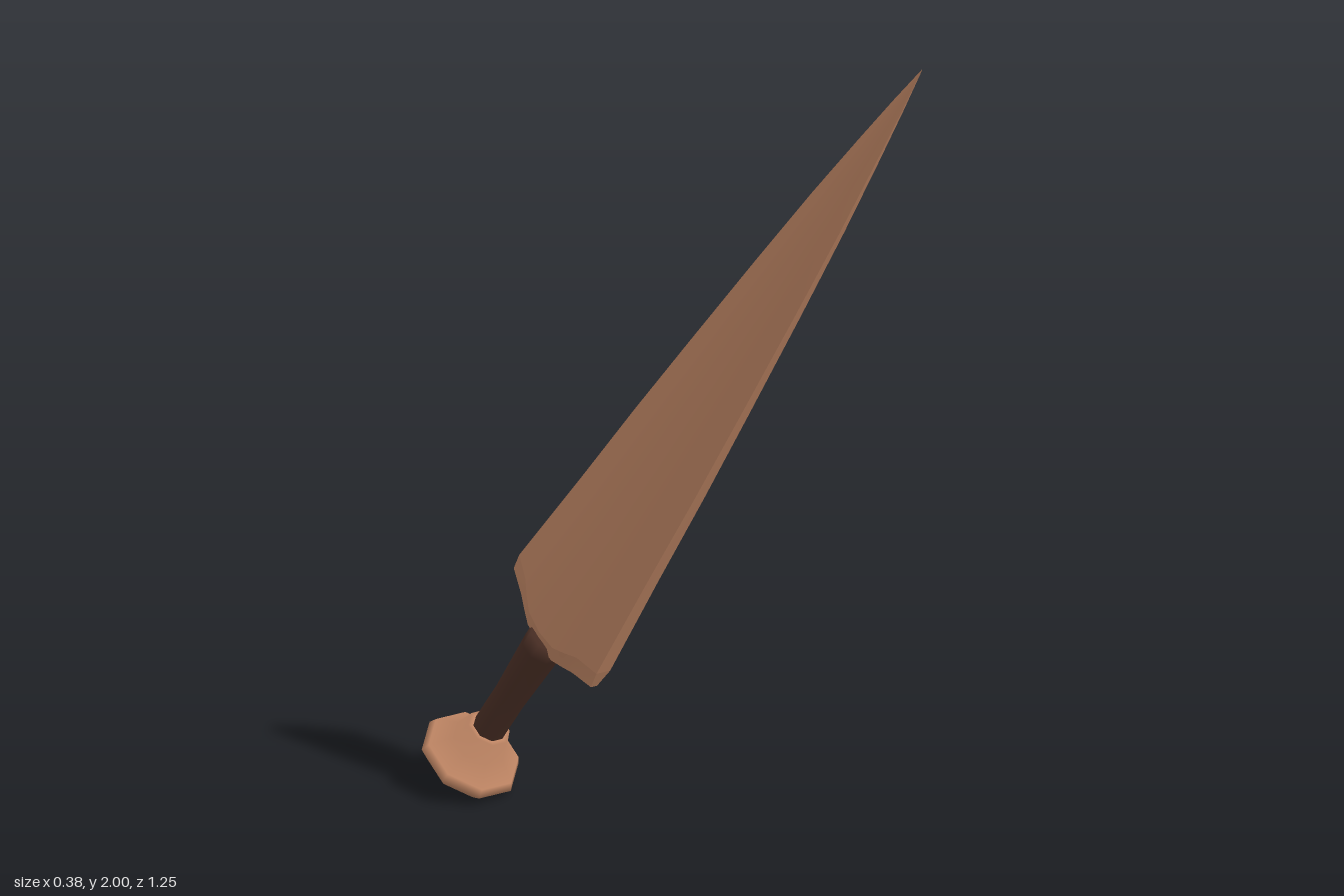
import * as THREE from 'three';
import { mergeGeometries } from 'three/addons/utils/BufferGeometryUtils.js';

// Smooth patch from rows of points; columns run right and rows run up as seen from its front
function patch(rows) {
  const n = rows[0].length;
  const index = [];
  for (let r = 0; r < rows.length - 1; r++) {
    for (let c = 0; c < n - 1; c++) {
      const a = r * n + c, b = a + 1, d = a + n, e = d + 1;
      index.push(a, b, e, a, e, d);
    }
  }
  const g = new THREE.BufferGeometry();
  g.setAttribute('position', new THREE.Float32BufferAttribute(rows.flat(2), 3));
  g.setIndex(index);
  g.computeVertexNormals();
  return g;
}

function bladeGeometry() {
  // Columns across the width: [u, bottom edge height, shoulder height]
  const columns = [
    [0, 0.38, 0.425], [0.3, 0.382, 0.43], [0.48, 0.396, 0.447],
    [0.66, 0.411, 0.466], [1, 0.428, 0.475],
  ];
  const full = [...columns.slice(1).reverse().map(([u, a, b]) => [-u, a, b]), ...columns];
  // Stations up the blade: [height, half width]
  const stations = [[0.75, 0.135], [1.0, 0.119], [1.25, 0.1], [1.55, 0.076],
    [1.8, 0.054], [2.0, 0.033], [2.15, 0.016], [2.27, 0.0005]];
  const thick = (u) => 0.018 + 0.024 * (1 - u * u);

  const side = (sign) => {
    const rows = [
      full.map(([u, a]) => [u * 0.155, a, sign * thick(u) * 0.45]),
      full.map(([u, , b]) => [u * 0.155, b, sign * thick(u)]),
    ];
    for (const [s, h] of stations) {
      rows.push(full.map(([u]) => [u * h, s, sign * thick(u) * h / 0.155]));
    }
    return rows;
  };
  const front = side(1), back = side(-1);
  const flip = (rows) => rows.map((r) => [...r].reverse());
  const last = full.length - 1;
  const rightEdge = front.map((r, i) => [r[last], back[i][last]]);
  const leftEdge = front.map((r, i) => [back[i][0], r[0]]);

  return mergeGeometries([
    patch(front.slice(1)), patch(flip(back.slice(1))),           // broad faces
    patch(front.slice(0, 2)), patch(flip(back.slice(0, 2))),     // bevelled shoulder
    patch(rightEdge.slice(1)), patch(leftEdge.slice(1)),         // narrow edges
    patch(rightEdge.slice(0, 2)), patch(leftEdge.slice(0, 2)),
    patch([back[0], front[0]]),                                  // underside
  ]);
}

const lathe = (points) =>
  new THREE.LatheGeometry(points.map(([r, y]) => new THREE.Vector2(r, y)), 8, Math.PI / 8);

export function createModel() {
  const copper = new THREE.MeshStandardMaterial({ color: 0xc88c69 });
  copper.name = 'copper';
  const darkWood = new THREE.MeshStandardMaterial({ color: 0x4c3026 });
  darkWood.name = 'dark wood';

  const dagger = new THREE.Group();
  dagger.name = 'dagger';
  const add = (name, geometry, material) => {
    const mesh = new THREE.Mesh(geometry, material);
    mesh.name = name;
    dagger.add(mesh);
  };

  add('blade', bladeGeometry(), copper);
  add('grip', lathe([[0.035, 0.06], [0.035, 0.2], [0.043, 0.36], [0.043, 0.4], [0, 0.41]]), darkWood);
  add('pommel', lathe([[0, -0.046], [0.06, -0.04], [0.085, -0.025], [0.108, 0],
    [0.1, 0.018], [0.06, 0.05], [0.046, 0.095], [0.03, 0.095]]), copper);

  // Lean the whole piece: local y runs from pommel to tip, local x across the blade
  const axis = new THREE.Vector3(0.285, 1.93, 1.16).normalize();
  const across = new THREE.Vector3(0, 0.516, -0.857).normalize();
  const normal = across.clone().cross(axis).normalize();
  across.crossVectors(axis, normal);
  dagger.quaternion.setFromRotationMatrix(new THREE.Matrix4().makeBasis(across, axis, normal));
  dagger.position.set(-0.092, 0.07, -0.535);

  const model = new THREE.Group();
  model.name = 'model';
  model.add(dagger);
  return model;
}
